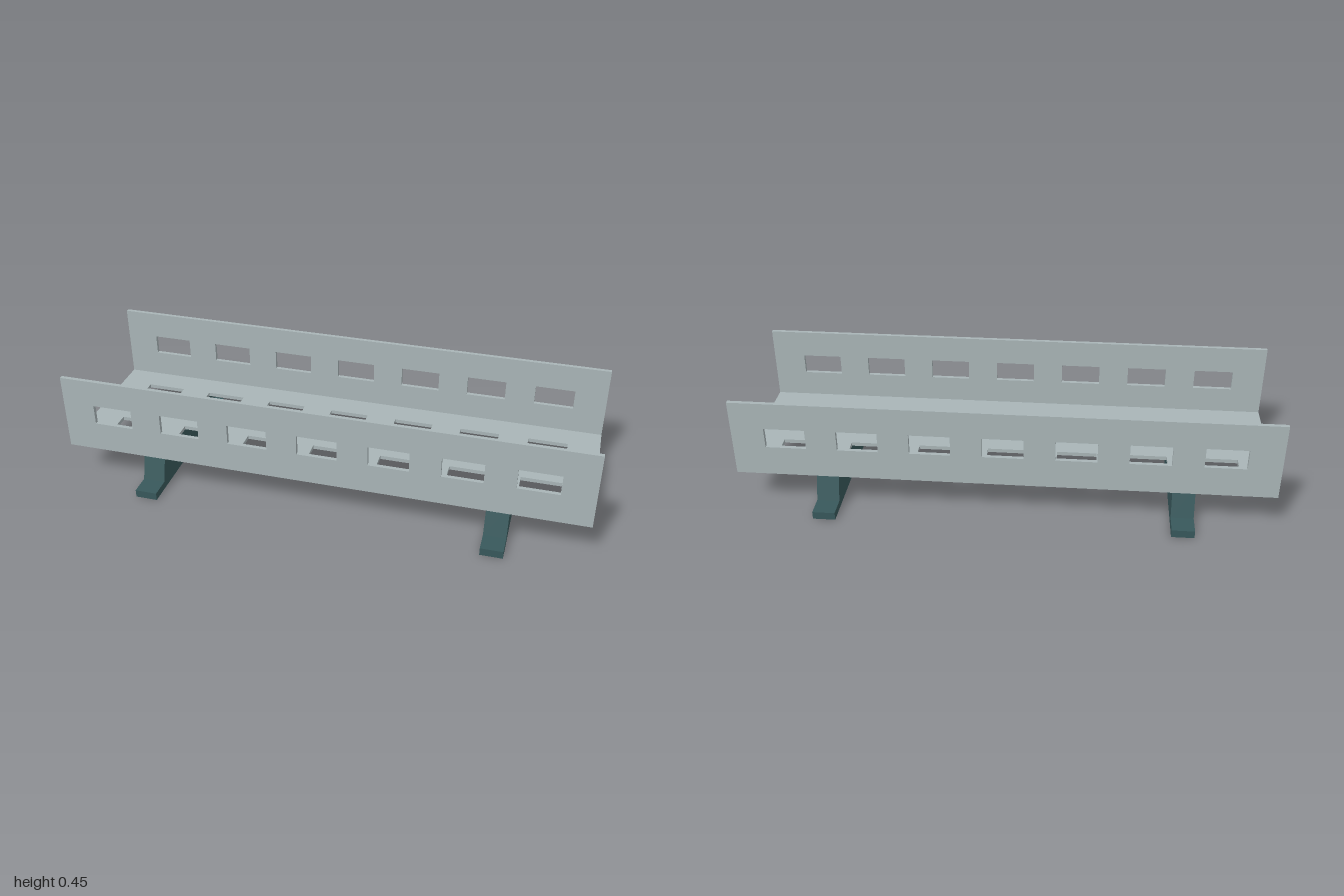
import * as THREE from 'three';

const LENGTH = 2, WIDTH = 0.6, BASE_Y = 0.15, TOP_Y = 0.45, SHEET = 0.015;
const SLOTS = 7, PITCH = 0.267, SLOT_LENGTH = 0.152;

function rect(path, cx, cy, w, h) {
  path.moveTo(cx - w / 2, cy - h / 2);
  path.lineTo(cx + w / 2, cy - h / 2);
  path.lineTo(cx + w / 2, cy + h / 2);
  path.lineTo(cx - w / 2, cy + h / 2);
  path.closePath();
  return path;
}

// Sheet in the XY plane, pierced by rows of slots, extruded along +z
function slottedSheet(cy, height, rows, slotHeight) {
  const shape = rect(new THREE.Shape(), 0, cy, LENGTH, height);
  for (const y of rows) {
    for (let i = 0; i < SLOTS; i++) {
      const x = (i - (SLOTS - 1) / 2) * PITCH;
      shape.holes.push(rect(new THREE.Path(), x, y, SLOT_LENGTH, slotHeight));
    }
  }
  return new THREE.ExtrudeGeometry(shape, { depth: SHEET, bevelEnabled: false });
}

export function createModel() {
  const group = new THREE.Group();
  const trayMaterial = new THREE.MeshStandardMaterial({ color: 0xa9b5b7 });
  const footMaterial = new THREE.MeshStandardMaterial({ color: 0x38585b });

  const add = (name, geometry, material) => {
    const mesh = new THREE.Mesh(geometry, material);
    mesh.name = name;
    group.add(mesh);
    return mesh;
  };

  // Tray floor with two rows of slots, fitted between the walls
  const floor = slottedSheet(0, WIDTH - 2 * SHEET, [-0.134, 0.134], 0.102);
  floor.rotateX(-Math.PI / 2).translate(0, BASE_Y, 0);
  add('trayFloor', floor, trayMaterial);

  // Side walls with one row of slots each
  const wall = slottedSheet((BASE_Y + TOP_Y) / 2, TOP_Y - BASE_Y, [0.306], 0.078);
  add('frontWall', wall, trayMaterial).position.z = WIDTH / 2 - SHEET;
  add('backWall', wall, trayMaterial).position.z = -WIDTH / 2;

  // Support feet: tapered block with a flange at each end
  const half = [[0.367, 0], [0.367, 0.03], [0.288, 0.03], [0.252, BASE_Y]];
  const profile = [...half, ...half.map(([z, y]) => [-z, y]).reverse()];
  const footWidth = 0.085;
  const foot = new THREE.ExtrudeGeometry(
    new THREE.Shape(profile.map(([z, y]) => new THREE.Vector2(z, y))),
    { depth: footWidth, bevelEnabled: false }
  );
  foot.translate(0, 0, -footWidth / 2).rotateY(Math.PI / 2);
  add('leftFoot', foot, footMaterial).position.x = 0.667;
  add('rightFoot', foot, footMaterial).position.x = -0.667;

  return group;
}
